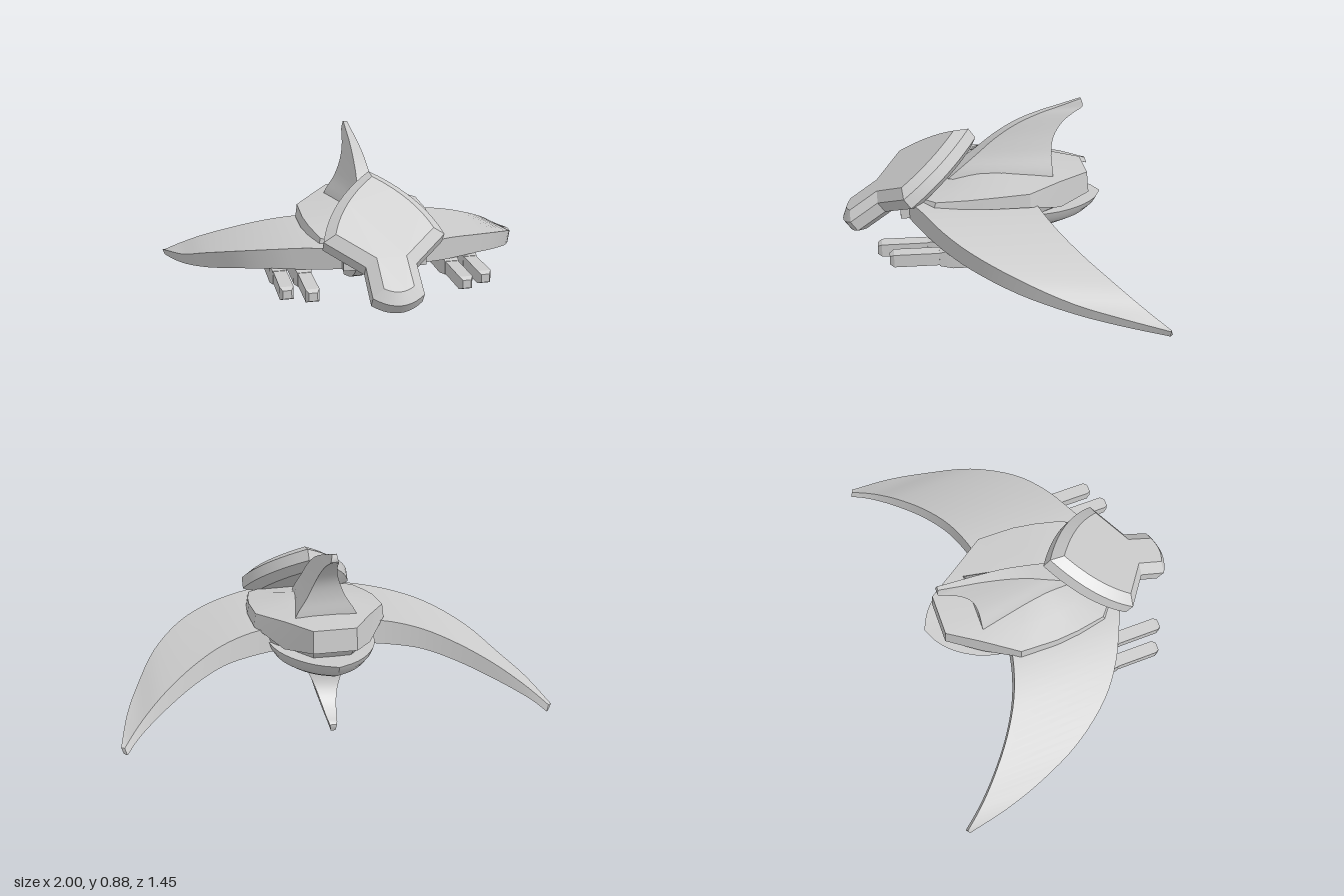
import * as THREE from 'three';
import { toCreasedNormals } from 'three/addons/utils/BufferGeometryUtils.js';

const material = new THREE.MeshStandardMaterial({ color: 0xcccccc });

// Skin closed rings of [x, y, z] points, cap both ends, and face the result outwards.
function loft(rings, crease = 0.5) {
  const pos = [], n = rings[0].length;
  const centre = (r) => [0, 1, 2].map((k) => r.reduce((s, p) => s + p[k], 0) / n);
  const first = rings[0], last = rings[rings.length - 1];
  const c0 = centre(first), c1 = centre(last);
  const tris = [];
  for (let j = 0; j < n; j++) {
    const k = (j + 1) % n;
    tris.push([c0, first[k], first[j]], [c1, last[j], last[k]]);
    for (let i = 0; i < rings.length - 1; i++) {
      const a = rings[i], b = rings[i + 1];
      tris.push([a[j], a[k], b[k]], [a[j], b[k], b[j]]);
    }
  }
  let volume = 0;
  for (const [a, b, c] of tris) {
    volume += new THREE.Vector3(...a).dot(new THREE.Vector3(...b).cross(new THREE.Vector3(...c)));
  }
  for (const [a, b, c] of tris) pos.push(...a, ...(volume > 0 ? b : c), ...(volume > 0 ? c : b));
  const geo = new THREE.BufferGeometry();
  geo.setAttribute('position', new THREE.Float32BufferAttribute(pos, 3));
  return toCreasedNormals(geo, crease);
}

function part(name, geometry) {
  const mesh = new THREE.Mesh(geometry, material);
  mesh.name = name;
  return mesh;
}

// Smoothly resample a list of points.
const smooth = (pts, count) =>
  new THREE.CatmullRomCurve3(pts.map((p) => new THREE.Vector3(...p))).getPoints(count).map((v) => v.toArray());

// Half outline from nose to tail -> full closed outline.
const mirrorHalf = (half) => [
  ...half,
  ...half.filter((p) => p[0] > 0.001).reverse().map(([x, ...rest]) => [-x, ...rest]),
];

// Tilted, bevelled head shield with a narrow snout.
function headShield() {
  const s = new THREE.Shape();
  s.moveTo(-0.12, 0.05);
  s.quadraticCurveTo(0, -0.05, 0.12, 0.05);
  s.lineTo(0.12, 0.22);
  s.lineTo(0.29, 0.375);
  s.quadraticCurveTo(0.23, 0.61, 0, 0.785);
  s.quadraticCurveTo(-0.23, 0.61, -0.29, 0.375);
  s.lineTo(-0.12, 0.22);
  s.closePath();
  const geo = new THREE.ExtrudeGeometry(s, {
    depth: 0.06, bevelEnabled: true, bevelSegments: 1, bevelSize: 0.05,
    bevelOffset: -0.05, bevelThickness: 0.036, curveSegments: 10,
  });
  const mesh = part('headShield', toCreasedNormals(geo, 0.45));
  mesh.rotation.x = -0.952;
  mesh.position.set(0, 0.237, 0.685);
  return mesh;
}

// Block joining the head shield to the body.
function neck() {
  const mesh = part('neck', new THREE.BoxGeometry(0.4, 0.05, 0.33));
  mesh.position.set(0, 0.387, 0.265);
  return mesh;
}

// Upper body slab: x, z, lower edge y, upper edge y.
function upperBody() {
  const outline = mirrorHalf([
    [0, 0.37, 0.45, 0.465], [0.2, 0.34, 0.45, 0.465], [0.285, 0.27, 0.45, 0.475], [0.315, 0.12, 0.45, 0.492],
    [0.328, 0, 0.45, 0.505], [0.325, -0.19, 0.45, 0.517], [0.21, -0.355, 0.39, 0.525], [0.105, -0.515, 0.42, 0.527],
  ]);
  // Crown height of the domed roof along z.
  const crown = (z) => 0.54 - 0.22 * Math.max(0, z + 0.15) ** 2;
  const scaled = (f, y) => outline.map(([x, z, lo, hi]) => {
    const zs = -0.05 + (z + 0.05) * f;
    return [x * f, y(lo, hi, zs), zs];
  });
  return loft([
    scaled(0.85, () => 0.365),
    scaled(0.93, (lo) => lo),
    scaled(1, (lo) => lo),
    scaled(0.975, (lo, hi) => hi),
    scaled(0.6, (lo, hi, z) => hi * 0.45 + crown(z) * 0.55),
    scaled(0.25, (lo, hi, z) => crown(z)),
  ], 0.4);
}

// Belly with a pointed tail; its front rim dips below the body.
function belly() {
  const half = smooth([
    [0, 0, 0.3], [0.1, 0, 0.28], [0.18, 0, 0.22], [0.235, 0, 0.08], [0.255, 0, -0.07],
    [0.262, 0, -0.2], [0.235, 0, -0.35], [0.17, 0, -0.47], [0.09, 0, -0.55], [0, 0, -0.595],
  ], 24);
  const outline = mirrorHalf(half);
  const levels = [[0.378, 1], [0.345, 0.96], [0.31, 0.88], [0.28, 0.74], [0.274, 0.4]];
  return loft(levels.map(([y, f]) => outline.map(([x, , z]) => {
    const dip = 0.45 * THREE.MathUtils.smoothstep(z, -0.25, 0.25) * (y - 0.274);
    return [x * f, y - dip, -0.12 + (z + 0.12) * f];
  })), 0.6);
}

// Wing stations: leading [x, z, top, bottom], trailing [x, z, top, bottom].
function wing(side) {
  const st = [
    [[0.2, 0.39, 0.455, 0.358], [0.2, -0.21, 0.452, 0.335]],
    [[0.35, 0.32, 0.45, 0.342], [0.35, -0.24, 0.44, 0.325]],
    [[0.5, 0.245, 0.43, 0.333], [0.5, -0.295, 0.408, 0.31]],
    [[0.65, 0.13, 0.395, 0.306], [0.65, -0.385, 0.353, 0.268]],
    [[0.8, -0.07, 0.33, 0.252], [0.79, -0.5, 0.285, 0.215]],
    [[0.9, -0.3, 0.252, 0.198], [0.885, -0.595, 0.225, 0.175]],
    [[0.96, -0.5, 0.204, 0.16], [0.94, -0.66, 0.184, 0.148]],
    [[1, -0.715, 0.148, 0.118], [0.985, -0.72, 0.146, 0.116]],
  ];
  // Follow one corner of the section along the span.
  const edge = (e, k, inset, back) => smooth(st.map((s) => [side * (s[e][0] - inset), s[e][k], s[e][1] - back]), 28);
  const edges = [edge(0, 2, 0, 0), edge(1, 2, 0, 0), edge(1, 3, 0.01, 0.01), edge(0, 3, 0.01, 0)];
  return loft(edges[0].map((_, i) => edges.map((e) => e[i])));
}

// Swept fin stations: y, leading z, leading half width, trailing z, trailing half width.
function fin(flip) {
  const st = [
    [0.5, 0.19, 0.06, -0.325, 0.16], [0.55, 0.13, 0.055, -0.325, 0.14], [0.62, 0.045, 0.045, -0.322, 0.095],
    [0.7, -0.05, 0.035, -0.335, 0.06], [0.77, -0.16, 0.028, -0.38, 0.038],
    [0.82, -0.28, 0.02, -0.445, 0.026], [0.845, -0.36, 0.016, -0.485, 0.018], [0.88, -0.47, 0.01, -0.477, 0.011],
  ];
  const edge = (f) => smooth(st.map(f), 21);
  const Y = (y) => (flip ? 0.88 - y : y);
  const edges = [
    edge(([y, z, w]) => [w, Y(y), z]),
    edge(([y, , , z, w]) => [w, Y(y), z]),
    edge(([y, , , z, w]) => [-w, Y(y), z]),
    edge(([y, z, w]) => [-w, Y(y), z]),
  ];
  return loft(edges[0].map((_, i) => edges.map((e) => e[i])));
}

// Square bar along z; stations: z, half width, bottom y, top y.
const bar = (stations) => loft(stations.map(([z, w, lo, hi]) => [[-w, lo, z], [w, lo, z], [w, hi, z], [-w, hi, z]]), 0.2);

function gun(x, muzzle, rear) {
  const g = new THREE.Group();
  g.name = 'gun';
  g.add(
    part('gunBarrel', bar([[0.15, 0.032, 0.262, 0.324], [muzzle - 0.02, 0.032, 0.262, 0.324], [muzzle, 0.02, 0.272, 0.312]])),
    part('gunBody', bar([[rear, 0.025, 0.26, 0.32], [rear + 0.03, 0.043, 0.248, 0.34], [rear + 0.26, 0.043, 0.248, 0.34], [rear + 0.32, 0.034, 0.258, 0.326]])),
  );
  g.position.x = x;
  return g;
}

export function createModel() {
  const model = new THREE.Group();
  model.name = 'winged craft';
  model.add(headShield(), neck(), part('upperBody', upperBody()), part('belly', belly()));
  model.add(part('topFin', fin(false)), part('bottomFin', fin(true)));
  for (const side of [1, -1]) {
    model.add(part(side > 0 ? 'leftWing' : 'rightWing', wing(side)));
    model.add(gun(side * 0.365, 0.545, -0.01), gun(side * 0.475, 0.49, -0.06));
  }
  return model;
}
